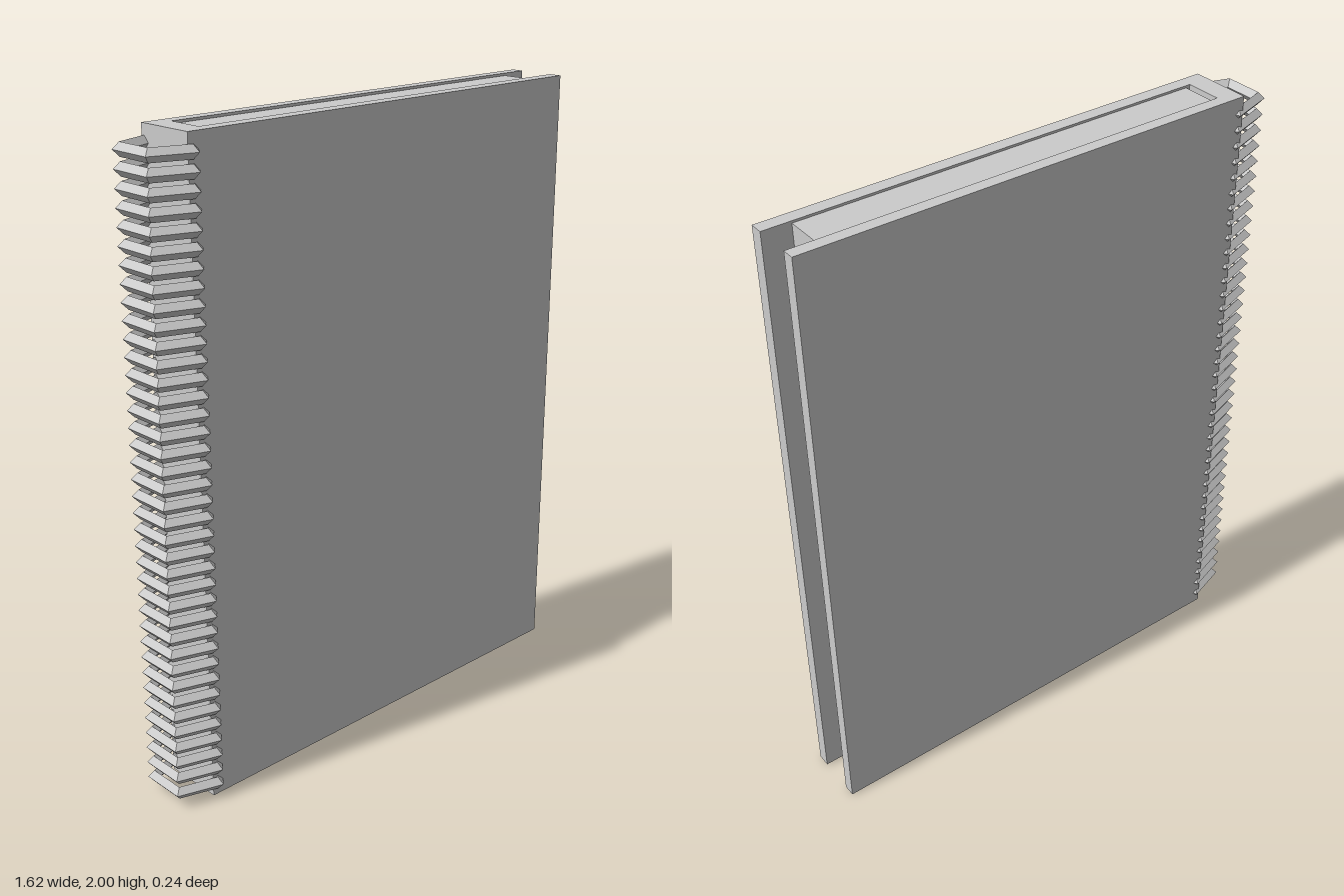
import * as THREE from 'three';

const material = new THREE.MeshStandardMaterial({ color: 0xcccccc, flatShading: true });

function add(parent, name, geometry, x = 0, y = 0, z = 0) {
  const mesh = new THREE.Mesh(geometry, material);
  mesh.name = name;
  mesh.position.set(x, y, z);
  parent.add(mesh);
  return mesh;
}

export function createModel() {
  const group = new THREE.Group();
  group.name = 'spiralNotebook';

  // C-shaped cover: front board, spine and back board, extruded upwards
  const profile = [
    [-0.69, -0.092], [0.81, -0.092], [0.81, -0.05], [-0.62, -0.05],
    [-0.62, 0.067], [0.81, 0.067], [0.81, 0.106], [-0.69, 0.106],
  ];
  const shape = new THREE.Shape(profile.map(([x, y]) => new THREE.Vector2(x, y)));
  const cover = new THREE.ExtrudeGeometry(shape, { depth: 1.996, bevelEnabled: false });
  cover.rotateX(-Math.PI / 2);
  add(group, 'cover', cover, 0, 0.004, 0);

  // Page block, slightly lower than the cover and clear of the spine
  add(group, 'pages', new THREE.BoxGeometry(1.326, 1.993, 0.113), 0.057, 0.9965, -0.0065);

  // Binding: five-sided rings with a diamond section, passing through the cover
  const binding = new THREE.Group();
  binding.name = 'binding';
  group.add(binding);
  const ring = new THREE.TorusGeometry(0.104, 0.02, 4, 5);
  ring.rotateX(Math.PI / 2);
  const count = 38;
  for (let i = 0; i < count; i++) {
    add(binding, 'bindingRing', ring, -0.71, 0.047 + (i * 1.901) / (count - 1), 0);
  }

  return group;
}
